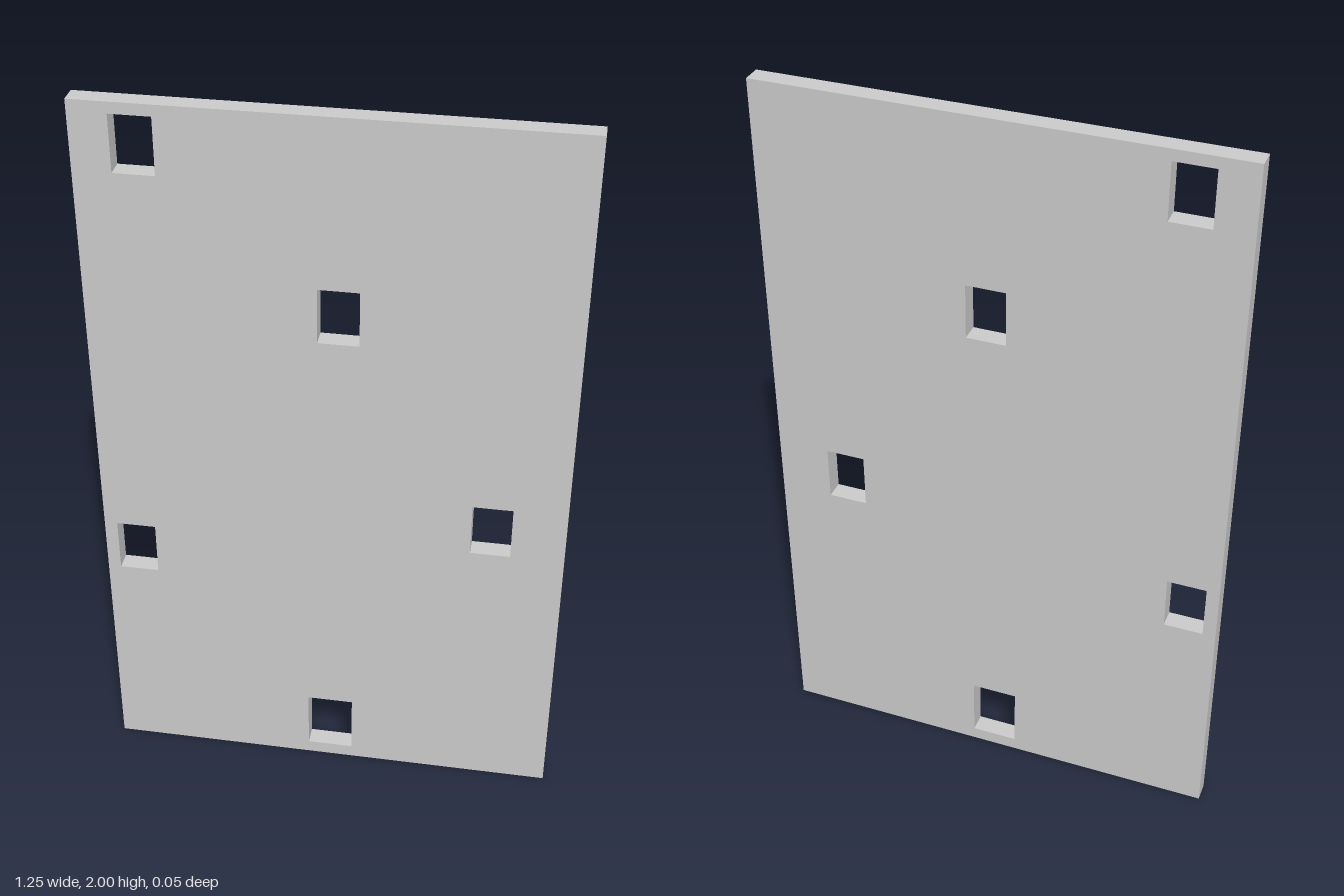
import * as THREE from 'three';

const WIDTH = 1.246, HEIGHT = 2, DEPTH = 0.052;

// Window openings: left x, bottom y, width, height
const OPENINGS = [
  [-0.524, 1.82, 0.106, 0.15],
  [-0.032, 1.4, 0.106, 0.15],
  [0.375, 0.795, 0.106, 0.15],
  [-0.588, 0.623, 0.106, 0.15],
  [-0.063, 0.037, 0.126, 0.174],
];

// Adds a rectangle outline to a shape or path
function rect(path, x, y, w, h) {
  path.moveTo(x, y);
  path.lineTo(x + w, y);
  path.lineTo(x + w, y + h);
  path.lineTo(x, y + h);
  path.closePath();
  return path;
}

export function createModel() {
  const group = new THREE.Group();
  group.name = 'perforatedPanel';

  // Flat panel with rectangular through-holes
  const outline = rect(new THREE.Shape(), -WIDTH / 2, 0, WIDTH, HEIGHT);
  for (const [x, y, w, h] of OPENINGS) outline.holes.push(rect(new THREE.Path(), x, y, w, h));

  const geometry = new THREE.ExtrudeGeometry(outline, { depth: DEPTH, bevelEnabled: false });
  geometry.translate(0, 0, -DEPTH / 2);

  const panel = new THREE.Mesh(geometry, new THREE.MeshStandardMaterial({ color: 0xcccccc }));
  panel.name = 'panel';
  group.add(panel);
  return group;
}
